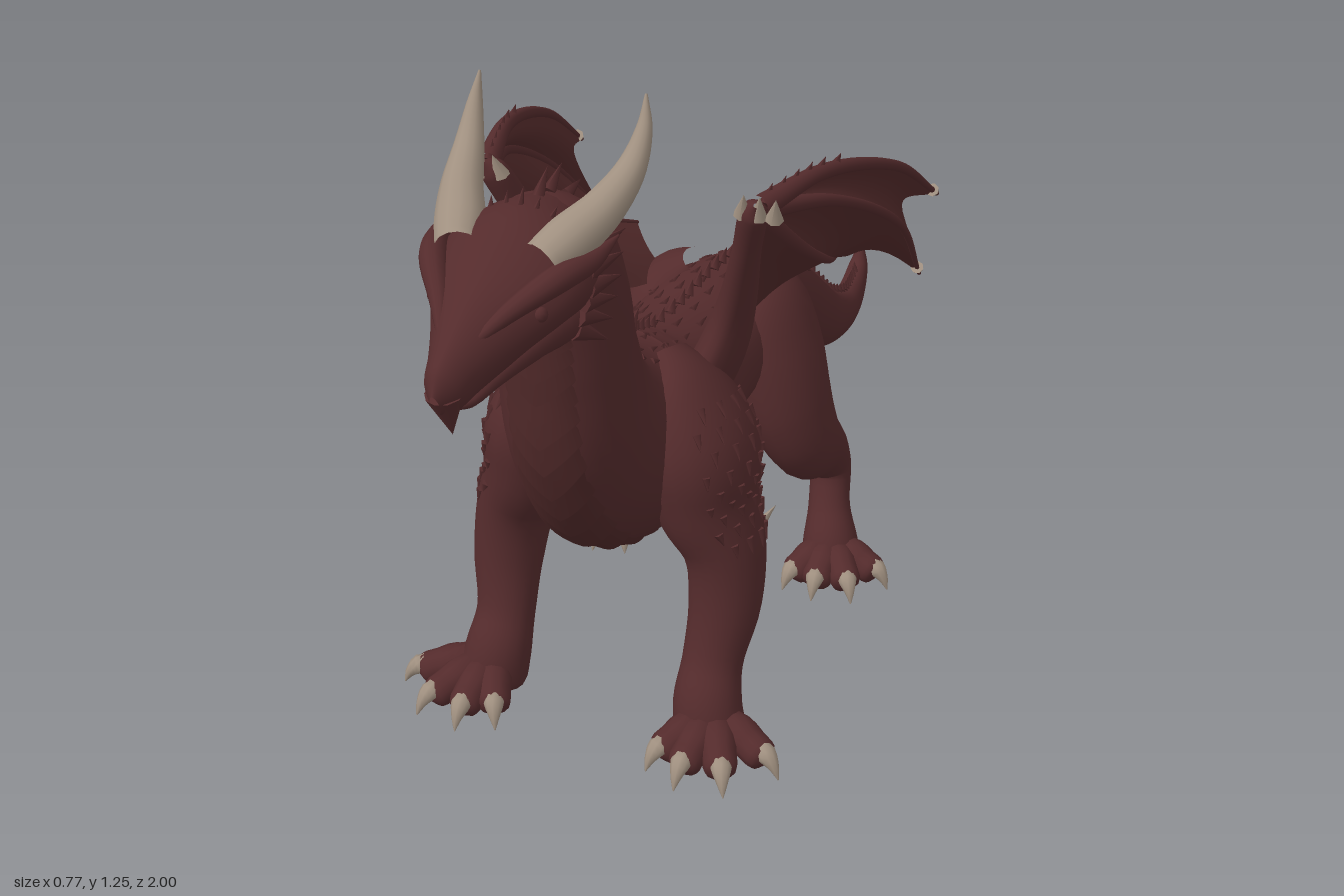
import * as THREE from 'three';
import { mergeGeometries } from 'three/addons/utils/BufferGeometryUtils.js';

const mat = (name, color, side = THREE.FrontSide) =>
  Object.assign(new THREE.MeshStandardMaterial({ color, side }), { name });
const V = (x, y, z) => new THREE.Vector3(x, y, z);
const X = V(1, 0, 0);

// Indexed grid of points; p(i, j) gives each vertex. "closed" joins the last column to the first.
function grid(rows, cols, p, closed) {
  const pos = [], idx = [], n = closed ? cols : cols + 1;
  for (let i = 0; i <= rows; i++)
    for (let j = 0; j < n; j++) pos.push(...p(i / rows, j / cols, i).toArray());
  for (let i = 0; i < rows; i++)
    for (let j = 0; j < cols; j++) {
      const a = i * n + j, b = i * n + (j + 1) % n;
      idx.push(a, b, a + n, b, b + n, a + n);
    }
  const g = new THREE.BufferGeometry();
  g.setAttribute('position', new THREE.Float32BufferAttribute(pos, 3));
  g.setIndex(idx);
  g.computeVertexNormals();
  return g;
}

// Skin over cross-sections [x, y, z, side radius, other radius]; returns a surface function.
function skin(sections, power = 1) {
  const path = new THREE.CatmullRomCurve3(sections.map(s => V(s[0], s[1], s[2])));
  const radii = new THREE.CatmullRomCurve3(sections.map(s => V(s[3], s[4] ?? s[3], 0)), false, 'catmullrom', 0.5);
  const shape = c => Math.sign(c) * Math.abs(c) ** power;
  return (u, angle, scale = 1) => {
    u = Math.min(1, Math.max(0, u));
    const t = path.getTangent(u), r = radii.getPoint(u);
    const s = X.clone().addScaledVector(t, -t.x).normalize();
    const n = t.clone().cross(s);
    const p = path.getPoint(u)
      .addScaledVector(s, shape(Math.cos(angle)) * Math.max(r.x, 0.001) * scale)
      .addScaledVector(n, shape(Math.sin(angle)) * Math.max(r.y, 0.001) * scale);
    p.y = Math.max(p.y, 0);
    return p;
  };
}
const loft = (sections, rows = 30, cols = 20, power = 1) => {
  const f = skin(sections, power);
  return grid(rows, cols, (u, v) => f(u, v * Math.PI * 2), true);
};

// Cone from one point to another
function spike(from, to, r, sides = 7) {
  const d = to.clone().sub(from), h = d.length();
  return new THREE.ConeGeometry(r, h, sides).translate(0, h / 2, 0)
    .applyQuaternion(new THREE.Quaternion().setFromUnitVectors(V(0, 1, 0), d.normalize()))
    .translate(from.x, from.y, from.z);
}

export function createModel() {
  const hide = mat('hide', 0x542b2c);
  const plate = mat('belly plate', 0x502929, THREE.DoubleSide);
  const web = mat('wing membrane', 0x522a2a, THREE.DoubleSide);
  const horn = mat('horn', 0xa09080);
  const model = new THREE.Group();
  model.name = 'dragon';
  const add = (name, geo, material) => {
    const m = new THREE.Mesh(Array.isArray(geo) ? mergeGeometries(geo) : geo, material);
    m.name = name;
    model.add(m);
  };

  // Tail, torso and neck in one skin, from tail tip to skull
  const bodySections = [
    [0, .33, -.988, .006, .006], [0, .28, -.975, .022, .024], [0, .232, -.93, .03, .042], [0, .215, -.86, .037, .05],
    [0, .243, -.75, .043, .064], [0, .312, -.63, .05, .078], [0, .41, -.48, .058, .087],
    [0, .488, -.3, .076, .105], [0, .52, -.15, .115, .13], [0, .535, -.02, .14, .13],
    [0, .53, .12, .142, .135], [0, .515, .28, .155, .176], [0, .54, .41, .155, .192],
    [0, .645, .525, .125, .152], [0, .78, .572, .116, .12], [0, .9, .594, .114, .108],
    [0, .985, .63, .106, .1], [0, .995, .7, .09, .085],
  ];
  const body = skin(bodySections);
  add('body', grid(130, 32, (u, v) => body(u, v * Math.PI * 2), true), hide);

  // Overlapping chevron plates down the throat and chest
  const bands = 22;
  add('bellyPlates', grid(bands * 2, 14, (u, v, i) => {
    const a = (v - .5) * 1.3, edge = 1 - (Math.abs(v - .5) * 2) ** 4;
    const k = Math.floor(i / 2 + .01) / bands + (i % 2) * .9 / bands;
    return body(.61 + k * .33 + Math.abs(a) * .03, a - Math.PI / 2, .985 + edge * (i % 2 ? .02 : .055));
  }), plate);

  // Row of backward spines from the crown to the tail tip
  const spines = [];
  for (let i = 0; i < 58; i++) {
    const u = .08 + .89 * i / 57, top = Math.PI / 2;
    const a = body(u, top, .97), b = body(u + .01, top, .97), out = a.clone().sub(body(u, top, .5)).normalize();
    const back = a.clone().sub(b).normalize();
    const size = u > .74 ? .05 : u < .3 ? .028 : .034;
    spines.push(spike(a, a.clone().addScaledVector(out, size * .75).addScaledVector(back, size * .8), .013, 5));
  }
  add('backSpines', spines, hide);

  // Rows of small flat scales on the back and neck
  const scales = [];
  for (let i = 0; i < 40; i++)
    for (let j = 0; j < 4; j++) {
      const u = .36 + .56 * i / 40, ang = Math.PI / 2 + (j - 1.5) * .42 + (i % 2) * .2;
      scales.push(spike(body(u, ang, .98), body(u - .014, ang, 1.01), .008, 5));
    }
  add('backScales', scales, hide);

  // Head: skull and muzzle, lower jaw, hooked beak
  add('skull', loft([[0, .99, .6, .08, .08], [0, .998, .66, .108, .095], [0, 1, .73, .128, .1], [0, .98, .8, .112, .08],
    [0, .95, .87, .074, .07], [0, .925, .93, .046, .056], [0, .908, .97, .031, .045], [0, .897, .996, .008, .02]], 36, 24, 1.15), hide);
  add('lowerJaw', loft([[0, .94, .62, .06, .05], [0, .925, .69, .1, .065], [0, .91, .78, .078, .044],
    [0, .89, .87, .047, .026], [0, .876, .93, .03, .016], [0, .872, .955, .004, .004]], 20, 16), hide);
  add('beak', spike(V(0, .905, .968), V(0, .828, .952), .03, 10), hide);
  add('crownSpikes', [-2, -1, 0, 1, 2].map(i =>
    spike(V(i * .022, 1.07 - Math.abs(i) * .004, .73), V(i * .028, 1.125 - Math.abs(i) * .012, .7), .013, 6)), hide);
  add('noseSpikes', [0, 1, 2, 3].map(i =>
    spike(V(0, .978 + i * .023, .92 - i * .045), V(0, 1.01 + i * .025, .89 - i * .045), .01, 5)), hide);

  for (const s of [1, -1]) {
    const side = s > 0 ? 'left' : 'right';
    const P = (x, y, z) => V(x * s, y, z);
    const M = list => list.map(([x, ...rest]) => [x * s, ...rest]);

    // Horn, brow, eyelid and cheek spikes
    add(side + 'Horn', loft(M([[.07, 1.045, .785, .036], [.09, 1.065, .74, .04], [.118, 1.095, .68, .034],
      [.138, 1.14, .615, .024], [.145, 1.195, .578, .013], [.142, 1.245, .562, .002]]), 24, 14), horn);
    add(side + 'Brow', loft(M([[.022, .965, .93, .006], [.058, 1, .87, .015], [.105, 1.033, .8, .022],
      [.128, 1.04, .74, .017], [.142, 1.055, .67, .002]]), 18, 10), hide);
    add(side + 'Eyelid', new THREE.SphereGeometry(.014, 12, 8).translate(.086 * s, .985, .83), hide);
    add(side + 'CheekSpikes', [0, 1, 2, 3, 4, 5].map(i => spike(
      P(.112 - Math.max(0, i - 2) * .009, 1.04 - i * .027, .73 - i * .004),
      P(.14 - Math.max(0, i - 2) * .006, 1.055 - i * .036, .64 + i * .006), .019, 6)), hide);

    // Front leg with elbow spikes and shoulder scales
    const foreSections = M([[.07, .68, .32, .03, .05], [.115, .62, .345, .07, .115], [.15, .53, .365, .098, .138],
      [.168, .44, .378, .09, .118], [.205, .35, .388, .072, .088], [.215, .25, .412, .065, .066],
      [.207, .15, .448, .055, .052], [.21, .08, .48, .062, .06], [.22, .02, .49, .06, .055], [.22, 0, .49, .01, .01]]);
    add(side + 'FrontLeg', loft(foreSections, 40, 20), hide);
    const fore = skin(foreSections), shoulderScales = [];
    for (let i = 0; i < 9; i++)
      for (let j = 0; j < 5; j++) {
        const ang = (s > 0 ? 0 : Math.PI) + s * ((j - 2) * .4 + (i % 2) * .2), u = .14 + i * .035;
        shoulderScales.push(spike(fore(u, ang, .98), fore(u + .028, ang, 1.015), .009, 5));
      }
    add(side + 'ShoulderScales', shoulderScales, hide);
    add(side + 'ElbowSpikes', [0, 1, 2].map(i =>
      spike(P(.235 - i * .012, .35 - i * .035, .325 + i * .012), P(.262 - i * .012, .39 - i * .035, .285 + i * .012), .015, 6)), horn);

    // Hind leg
    add(side + 'HindLeg', loft(M([[.05, .655, -.1, .03, .05], [.09, .6, -.095, .072, .115], [.122, .5, -.078, .09, .13],
      [.158, .4, -.06, .084, .11], [.19, .325, -.075, .066, .086], [.2, .265, -.145, .053, .06],
      [.205, .205, -.187, .043, .046], [.215, .13, -.16, .042, .042], [.23, .06, -.13, .056, .058],
      [.235, .02, -.125, .055, .055], [.235, 0, -.125, .01, .01]]), 44, 20), hide);

    // Toes and claws, fanned outward on each foot
    const feet = {
      Front: [[.222, .48], [[.15, .615], [.215, .645], [.3, .63], [.37, .55]]],
      Hind: [[.232, -.13], [[.175, -.005], [.24, .01], [.315, -.01], [.365, -.085]]],
    };
    for (const [which, [[bx, bz], tips]] of Object.entries(feet)) {
      const toes = [], claws = [];
      for (const [tx, tz] of tips) {
        const at = (k, y) => [bx + (tx - bx) * k, y, bz + (tz - bz) * k];
        toes.push(loft(M([[...at(.1, .05), .03], [...at(.4, .05), .034], [...at(.6, .042), .031],
          [...at(.78, .034), .028], [...at(.86, .03), .004]]), 12, 12));
        claws.push(loft(M([[...at(.68, .045), .014], [...at(.82, .045), .019], [...at(.94, .03), .011], [...at(1.02, .006), .001]]), 8, 9));
      }
      add(side + which + 'Toes', toes, hide);
      add(side + which + 'Claws', claws, horn);
    }

    // Wing arm, broad and flat where it is set into the back behind the shoulder
    add(side + 'WingArm', loft(M([[.09, .56, .22, .045, .13], [.13, .65, .225, .042, .1], [.165, .75, .245, .034, .06],
      [.21, .89, .312, .025, .032], [.24, .985, .358, .024, .024], [.25, 1.005, .375, .004, .004]]), 24, 16), hide);

    // Wing fingers fan back from the wrist; the last rail follows arm and flank
    const rails = [
      [[.25, .995, .36], [.3, 1.003, .19], [.352, .925, -.07], [.376, .8, -.265]],
      [[.25, .99, .355], [.312, .945, .17], [.352, .8, -.1], [.337, .605, -.31]],
      [[.245, .98, .35], [.272, .86, .2], [.255, .76, .02], [.21, .68, -.17]],
      [[.24, .97, .345], [.19, .82, .255], [.14, .68, .13], [.1, .61, -.1]],
    ].map(M);
    const curves = rails.map(r => new THREE.CatmullRomCurve3(r.map(p => V(...p))));
    add(side + 'WingFingers', rails.slice(0, 3).map((r, f) =>
      loft(r.map((p, i) => [...p, [.022, .014, .01, .005][i] * (f ? .8 : 1)]), 24, 10)), hide);
    add(side + 'WingMembrane', [0, 1, 2].map(f => grid(16, 12, (v, u) => {
      const arc = Math.sin(Math.PI * u), k = v * (1 - [.22, .18, .06][f] * arc);
      const p = curves[f].getPoint(k).lerp(curves[f + 1].getPoint(k), u);
      p.x -= s * .018 * arc * Math.sin(Math.PI * k * .8);
      return p;
    })), web);

    // Wing claws at finger tips and wrist, with small spikes on the leading edge
    const wingClaws = curves.slice(0, 2).map(c => {
      const tip = c.getPoint(.96);
      return spike(tip, tip.clone().addScaledVector(c.getTangent(1), .038), .013, 7);
    });
    for (const x of [.222, .25, .278]) wingClaws.push(spike(P(x, .98, .362), P(x + .008, 1.022, .378), .016, 7));
    add(side + 'WingClaws', wingClaws, horn);
    add(side + 'WingEdgeSpikes', [0, 1, 2, 3, 4, 5].map(i => {
      const a = curves[0].getPoint(.03 + i * .07);
      return spike(a, a.clone().add(P(.004, .03 - i * .002, -.025)), .012, 5);
    }), hide);
  }
  return model;
}
